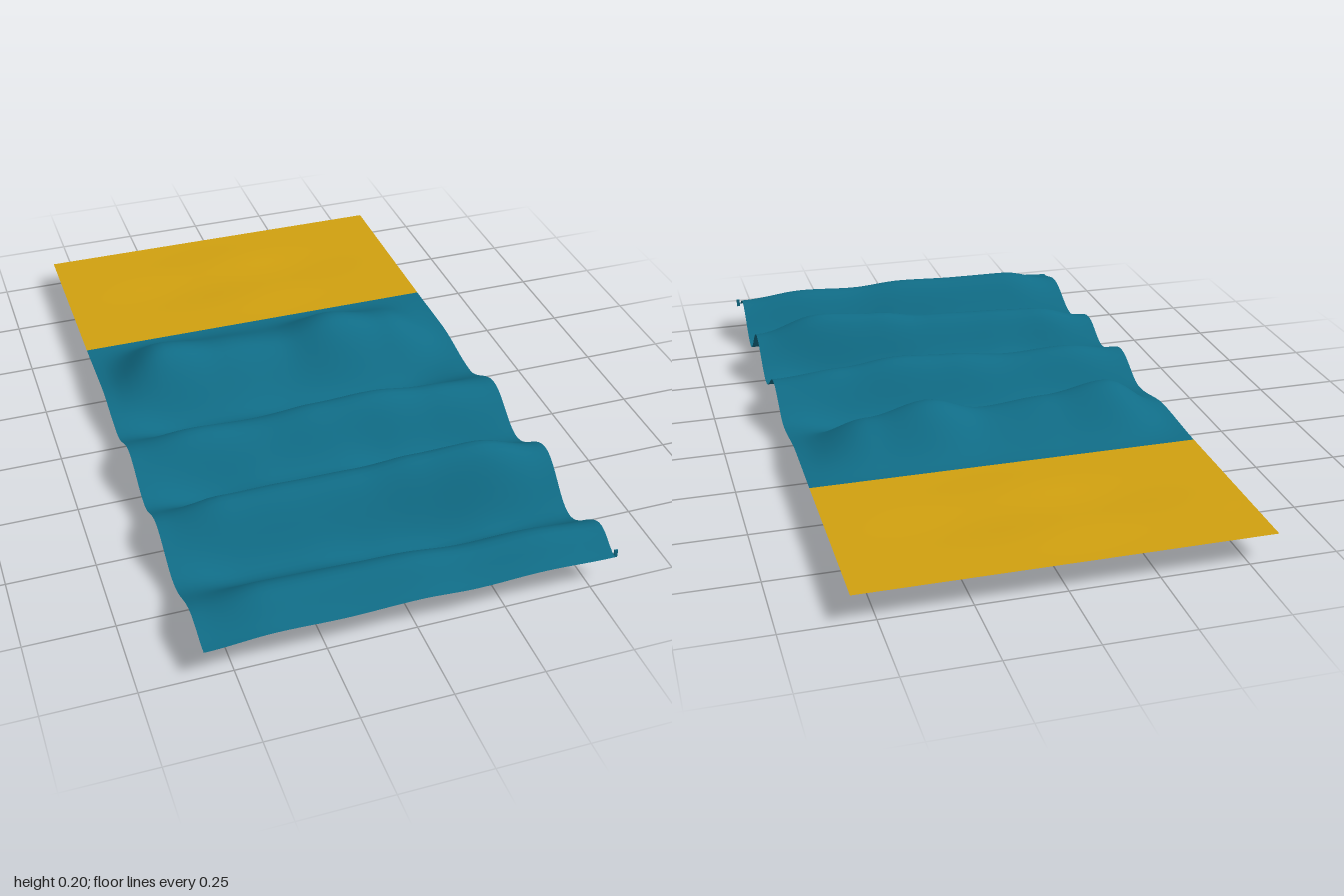
import * as THREE from 'three';

const X0 = -0.577, X1 = 0.565, SEAM = -0.43, FLAT = 0.083;

// stations across the width, and fold lines from back to front:
// z on the left side, z on the right side, heights at each station
const STATIONS = [-0.577, -0.38, -0.2, 0, 0.17, 0.35, 0.565];
const FOLDS = [
  [-0.43, -0.43, [0.083, 0.083, 0.083, 0.083, 0.083, 0.083, 0.083]],
  [-0.20, -0.21, [0.09, 0.195, 0.165, 0.15, 0.198, 0.16, 0.085]],
  [0.01, 0.02, [0.06, 0.03, 0.04, 0.03, 0.025, 0.03, 0.06]],
  [0.18, 0.20, [0.12, 0.15, 0.14, 0.16, 0.17, 0.15, 0.13]],
  [0.36, 0.38, [0.06, 0.03, 0.05, 0.05, 0.03, 0.02, 0.05]],
  [0.50, 0.56, [0.11, 0.155, 0.16, 0.165, 0.185, 0.197, 0.14]],
  [0.69, 0.74, [0.05, 0.025, 0.025, 0.012, 0.002, 0.015, 0.03]],
  [0.88, 0.91, [0.11, 0.15, 0.15, 0.155, 0.143, 0.15, 0.13]],
  [1.00, 1.00, [0.088, 0.1, 0.095, 0.1, 0.092, 0.098, 0.09]],
];

const ease = (t) => (1 - Math.cos(Math.PI * t)) / 2;
const mix = (a, b, t) => a + (b - a) * t;

function across(heights, x) {
  let i = 0;
  while (i < STATIONS.length - 2 && x > STATIONS[i + 1]) i++;
  const t = (x - STATIONS[i]) / (STATIONS[i + 1] - STATIONS[i]);
  return mix(heights[i], heights[i + 1], ease(Math.min(1, Math.max(0, t))));
}

// rumpled cloth: smooth waves between the fold lines
function foldHeight(x, z) {
  const u = (x - X0) / (X1 - X0);
  const lineZ = (f) => mix(f[0], f[1], u);
  let i = 0;
  while (i < FOLDS.length - 2 && z > lineZ(FOLDS[i + 1])) i++;
  const a = FOLDS[i], b = FOLDS[i + 1];
  const t = Math.min(1, Math.max(0, (z - lineZ(a)) / (lineZ(b) - lineZ(a))));
  return mix(across(a[2], x), across(b[2], x), ease(t));
}

// nearly flat cloth with faint ripples that die out at its borders
function flatHeight(x, z) {
  const fade = Math.sin(Math.PI * (x - X0) / (X1 - X0)) * Math.sin(Math.PI * (z + 1) / (SEAM + 1));
  return FLAT + 0.006 * fade * Math.sin(7 * x + 9 * z) * Math.cos(5 * x - 11 * z);
}

function sheet(name, z0, z1, rows, height, material) {
  const geo = new THREE.PlaneGeometry(X1 - X0, z1 - z0, 44, rows);
  geo.rotateX(-Math.PI / 2);
  geo.translate((X0 + X1) / 2, 0, (z0 + z1) / 2);
  const p = geo.attributes.position;
  for (let i = 0; i < p.count; i++) p.setY(i, height(p.getX(i), p.getZ(i)));
  geo.computeVertexNormals();
  const mesh = new THREE.Mesh(geo, material);
  mesh.name = name;
  return mesh;
}

export function createModel() {
  const teal = new THREE.MeshStandardMaterial({ color: 0x106c86, side: THREE.DoubleSide });
  teal.name = 'teal cloth';
  const gold = new THREE.MeshStandardMaterial({ color: 0xd0a010, side: THREE.DoubleSide });
  gold.name = 'gold cloth';

  const group = new THREE.Group();
  group.name = 'blanket';
  group.add(sheet('foldedBlanket', SEAM, 1, 84, foldHeight, teal));
  group.add(sheet('turnedDownBand', -1, SEAM, 24, flatHeight, gold));

  // tiny loose thread at the front corner
  const thread = new THREE.Mesh(new THREE.BoxGeometry(0.01, 0.024, 0.004), teal);
  thread.name = 'looseThread';
  thread.position.set(0.571, 0.094, 0.99);
  group.add(thread);
  return group;
}
